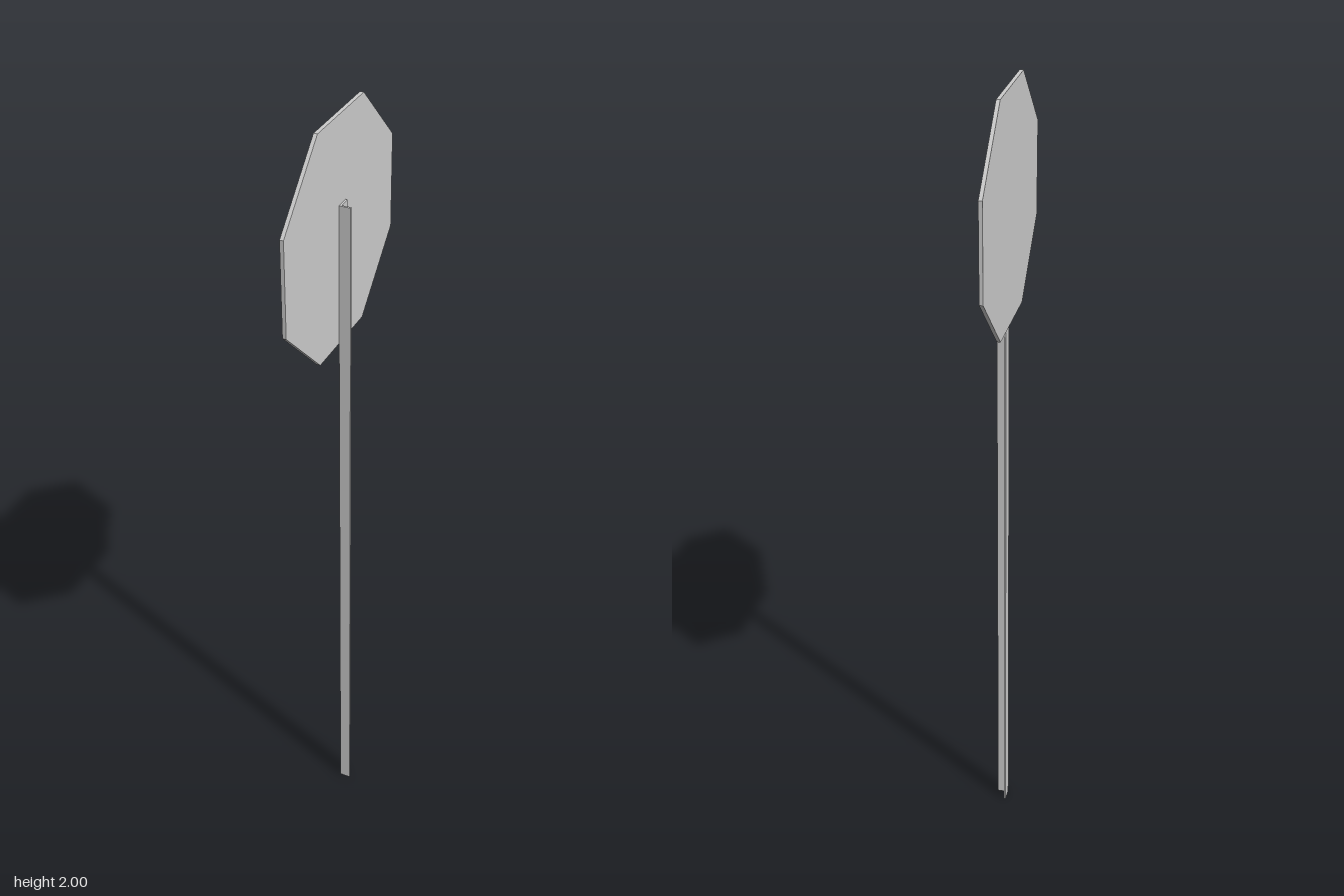
import * as THREE from 'three';

const material = new THREE.MeshStandardMaterial({ color: 0xcccccc, flatShading: true });

// Extrudes a closed outline of [x, y] points along +z
function extrude(points, depth) {
  const shape = new THREE.Shape(points.map(([x, y]) => new THREE.Vector2(x, y)));
  return new THREE.ExtrudeGeometry(shape, { depth, bevelEnabled: false });
}

function addPart(group, name, geometry) {
  const mesh = new THREE.Mesh(geometry, material);
  mesh.name = name;
  group.add(mesh);
  return mesh;
}

export function createModel() {
  const model = new THREE.Group();
  model.name = 'roadSign';

  // Octagonal plate, facing sideways
  const halfW = 0.278, halfH = 0.275, cutW = 0.115, cutH = 0.115;
  const plate = extrude([
    [cutW, -halfH], [halfW, -cutH], [halfW, cutH], [cutW, halfH],
    [-cutW, halfH], [-halfW, cutH], [-halfW, -cutH], [-cutW, -halfH],
  ], 0.009).rotateY(Math.PI / 2);
  addPart(model, 'signPlate', plate).position.set(-0.019, 1.725, 0);

  // L-section post: one flange lies against the plate, the other stands out
  const post = extrude([
    [-0.01, -0.014], [0.018, -0.014], [0.018, -0.009],
    [-0.005, -0.009], [-0.005, 0.02], [-0.01, 0.02],
  ], 1.795).rotateX(-Math.PI / 2);
  addPart(model, 'post', post);

  return model;
}
